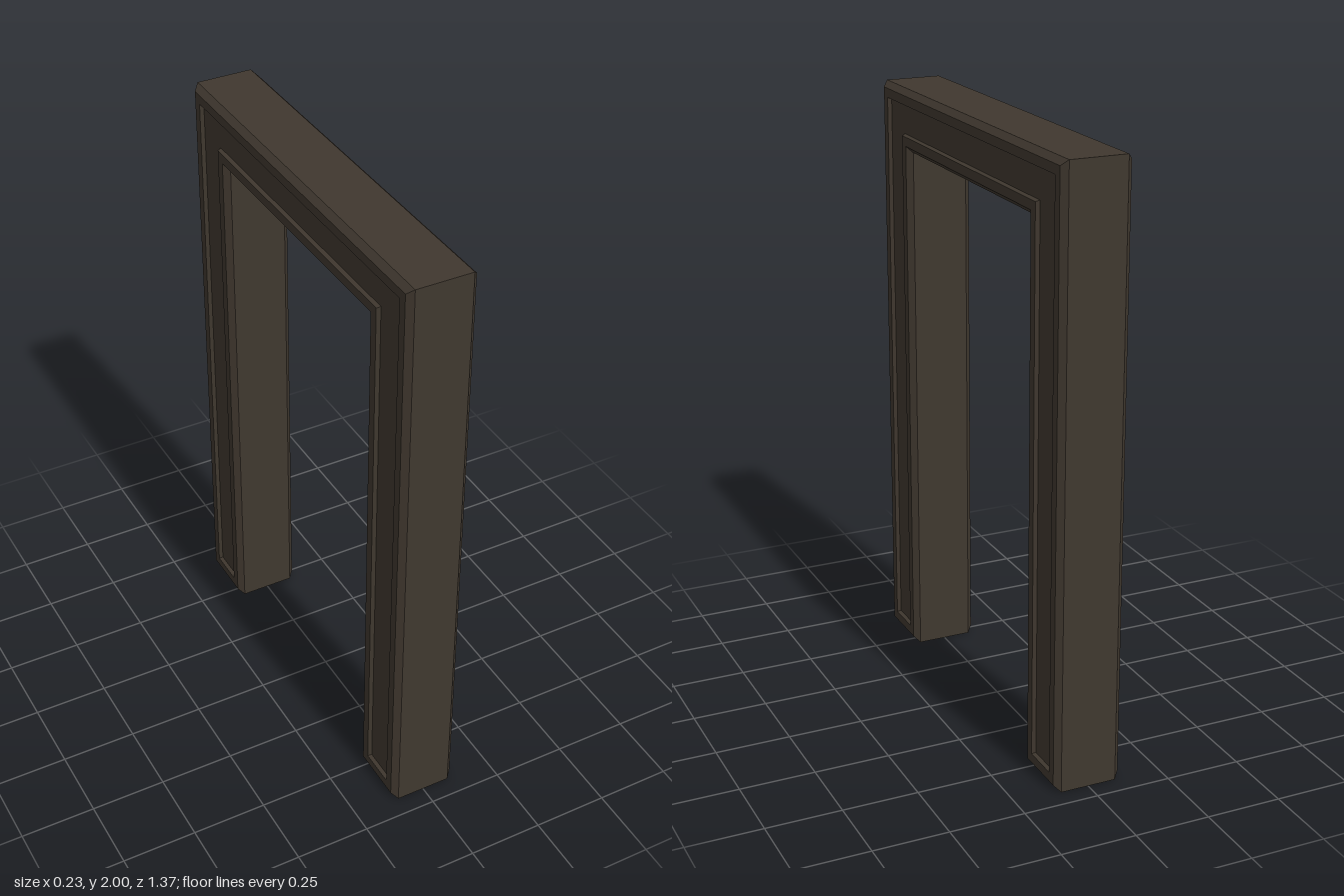
import * as THREE from 'three';

// Outline of the frame (two posts and a lintel) inset by d; u runs along -z
function outline(d) {
  const W = 0.685 - d, w = 0.46 + d, top = 2 - d, head = 1.795 + d;
  return [[-W, d], [-w, d], [-w, head], [w, head], [w, d], [W, d], [W, top], [-W, top]]
    .map(([u, y]) => new THREE.Vector2(u, y));
}

export function createModel() {
  const group = new THREE.Group();
  const darkWood = new THREE.MeshStandardMaterial({ color: 0x40382f });
  darkWood.name = 'darkWood';

  // Moulding section as [inset, x]: bevelled edge, flat border, sunken panel
  const half = [[0, 0.094], [0.019, 0.113], [0.05, 0.113], [0.054, 0.1]];
  const section = [...half.map(([d, x]) => [d, -x]).reverse(), ...half];
  const loops = section.map(([d, x]) =>
    outline(d).map((p) => new THREE.Vector3(x, p.y, -p.x)));

  const positions = [];
  const tri = (...corners) => corners.forEach((v) => positions.push(v.x, v.y, v.z));

  // Walls between successive outlines
  for (let k = 0; k < loops.length - 1; k++) {
    const a = loops[k], b = loops[k + 1];
    for (let i = 0; i < a.length; i++) {
      const j = (i + 1) % a.length;
      tri(a[i], a[j], b[j]);
      tri(a[i], b[j], b[i]);
    }
  }

  // Sunken panels on both faces
  const first = loops[0], last = loops[loops.length - 1];
  for (const [a, b, c] of THREE.ShapeUtils.triangulateShape(outline(0.054), [])) {
    tri(last[a], last[b], last[c]);
    tri(first[a], first[c], first[b]);
  }

  const geometry = new THREE.BufferGeometry();
  geometry.setAttribute('position', new THREE.Float32BufferAttribute(positions, 3));
  geometry.computeVertexNormals();

  const frame = new THREE.Mesh(geometry, darkWood);
  frame.name = 'doorFrame';
  group.add(frame);
  return group;
}
